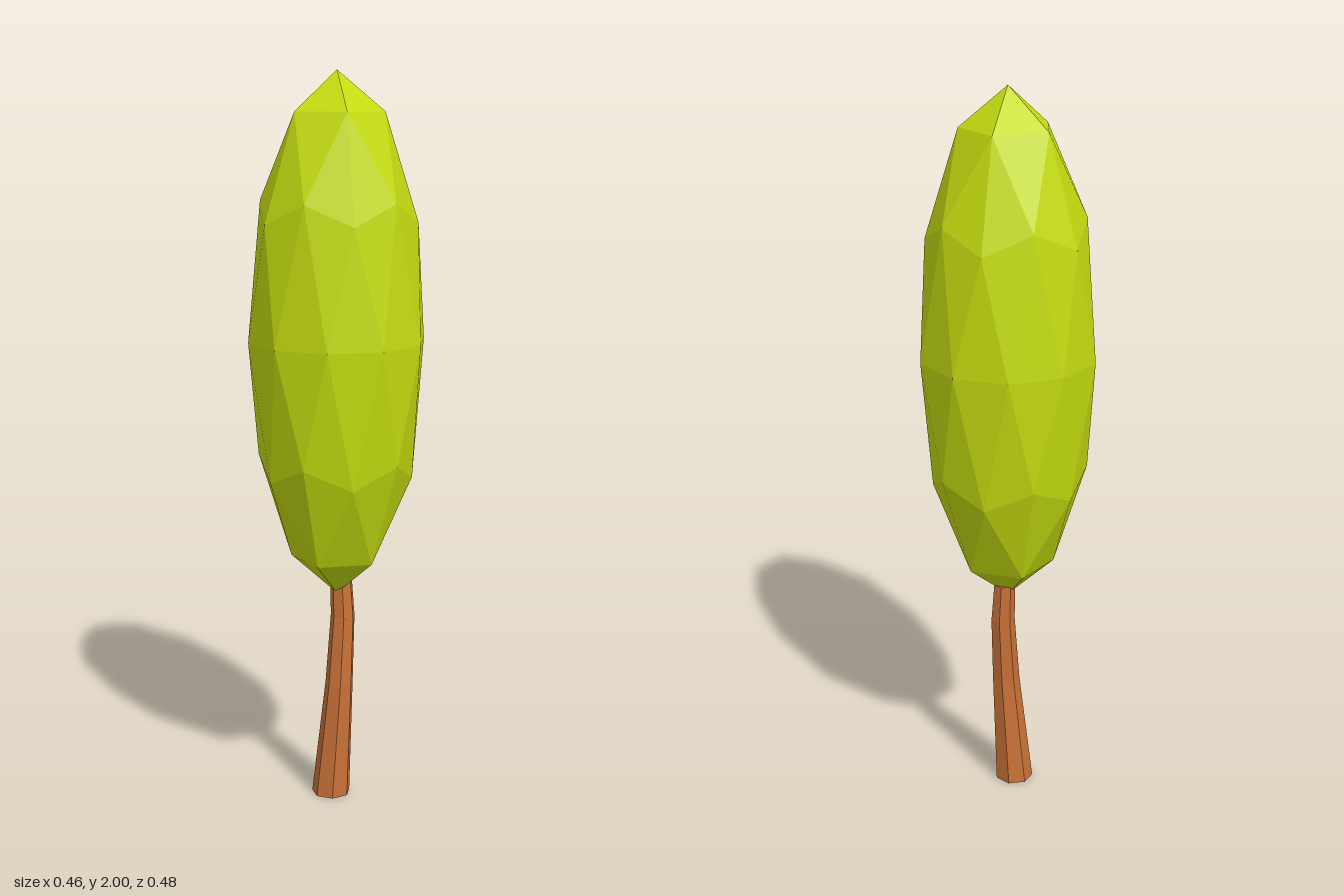
import * as THREE from 'three';

// Trunk rings from ground to crown: height, centre x, centre z, radius
const RINGS = [
  [0, -0.013, -0.011, 0.054],
  [0.33, 0.006, 0.003, 0.039],
  [0.52, 0.02, -0.002, 0.034],
  [0.63, 0.018, -0.007, 0.03],
];

function createTrunk() {
  // Seven-sided unit cylinder whose rings are bent along the list above
  const geo = new THREE.CylinderGeometry(1, 1, 1, 7, RINGS.length - 1, false, Math.PI);
  const pos = geo.attributes.position;
  for (let i = 0; i < pos.count; i++) {
    const level = Math.round((pos.getY(i) + 0.5) * (RINGS.length - 1));
    const [y, cx, cz, r] = RINGS[level];
    pos.setXYZ(i, cx + pos.getX(i) * r, y, cz + pos.getZ(i) * r);
  }
  geo.computeVertexNormals();
  const trunk = new THREE.Mesh(geo, new THREE.MeshStandardMaterial({ color: 0xc87137, flatShading: true }));
  trunk.name = 'trunk';
  return trunk;
}

function createFoliage() {
  // Icosphere turned so that a corner points straight up, then stretched
  const geo = new THREE.IcosahedronGeometry(1, 1);
  geo.rotateX(-Math.atan((1 + Math.sqrt(5)) / 2));
  geo.rotateY(-Math.PI / 2);
  geo.scale(0.24, 0.705, 0.24);
  geo.translate(0, 1.295, 0);
  geo.computeVertexNormals();
  const foliage = new THREE.Mesh(geo, new THREE.MeshStandardMaterial({ color: 0xc4dc10, flatShading: true }));
  foliage.name = 'foliage';
  return foliage;
}

export function createModel() {
  const tree = new THREE.Group();
  tree.name = 'tree';
  tree.add(createTrunk(), createFoliage());
  return tree;
}
